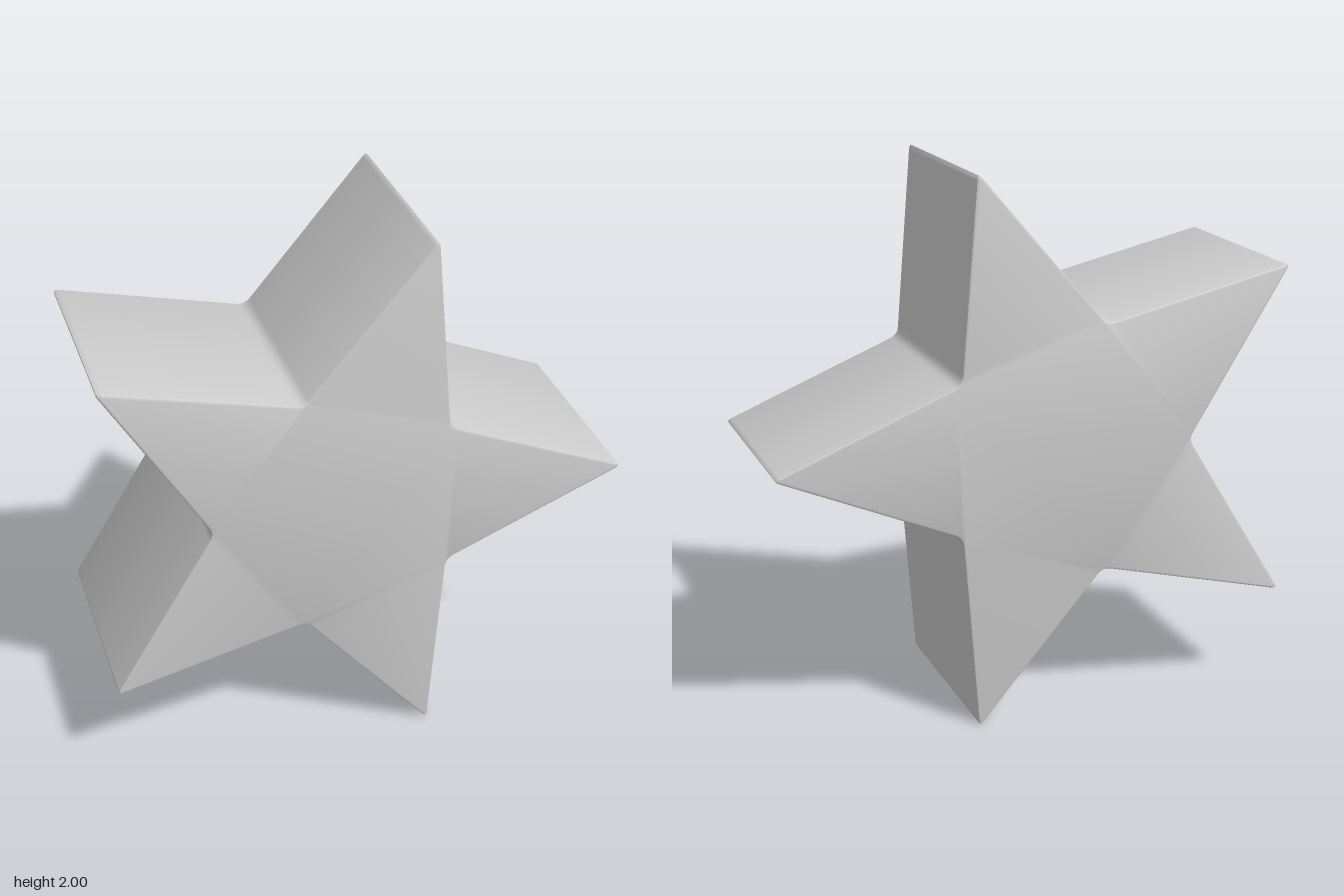
import * as THREE from 'three';
import { toCreasedNormals } from 'three/addons/utils/BufferGeometryUtils.js';

const OUTER = 1.064, INNER = 0.478, CENTRE_X = -0.1, DEPTH = 0.8, BEVEL = 0.01, ROUND = 0.03;

// Five-pointed outline with one tip along +x and every corner slightly rounded
function starShape() {
  const corners = [];
  for (let i = 0; i < 10; i++) {
    const a = (i * Math.PI) / 5, r = i % 2 ? INNER : OUTER;
    corners.push(new THREE.Vector2(CENTRE_X + r * Math.cos(a), 1 + r * Math.sin(a)));
  }
  const towards = (from, to) => to.clone().sub(from).setLength(ROUND).add(from);
  const shape = new THREE.Shape();
  corners.forEach((c, i) => {
    const start = towards(c, corners[(i + 9) % 10]);
    const end = towards(c, corners[(i + 1) % 10]);
    if (i === 0) shape.moveTo(start.x, start.y);
    else shape.lineTo(start.x, start.y);
    shape.quadraticCurveTo(c.x, c.y, end.x, end.y);
  });
  shape.closePath();
  return shape;
}

export function createModel() {
  const group = new THREE.Group();
  group.name = 'star';

  // Thick star block with a fine bevel around both faces
  const geometry = new THREE.ExtrudeGeometry(starShape(), {
    depth: DEPTH - 2 * BEVEL,
    curveSegments: 4,
    bevelEnabled: true,
    bevelThickness: BEVEL,
    bevelSize: BEVEL,
    bevelOffset: -BEVEL,
    bevelSegments: 2,
  });
  geometry.translate(0, 0, BEVEL - DEPTH / 2);

  const body = new THREE.Mesh(
    toCreasedNormals(geometry, 0.7),
    new THREE.MeshStandardMaterial({ color: 0xcccccc })
  );
  body.name = 'starBody';
  group.add(body);

  // Settle exactly on the ground and centre
  const box = new THREE.Box3().setFromObject(body);
  body.position.set(-(box.min.x + box.max.x) / 2, -box.min.y, -(box.min.z + box.max.z) / 2);
  return group;
}
